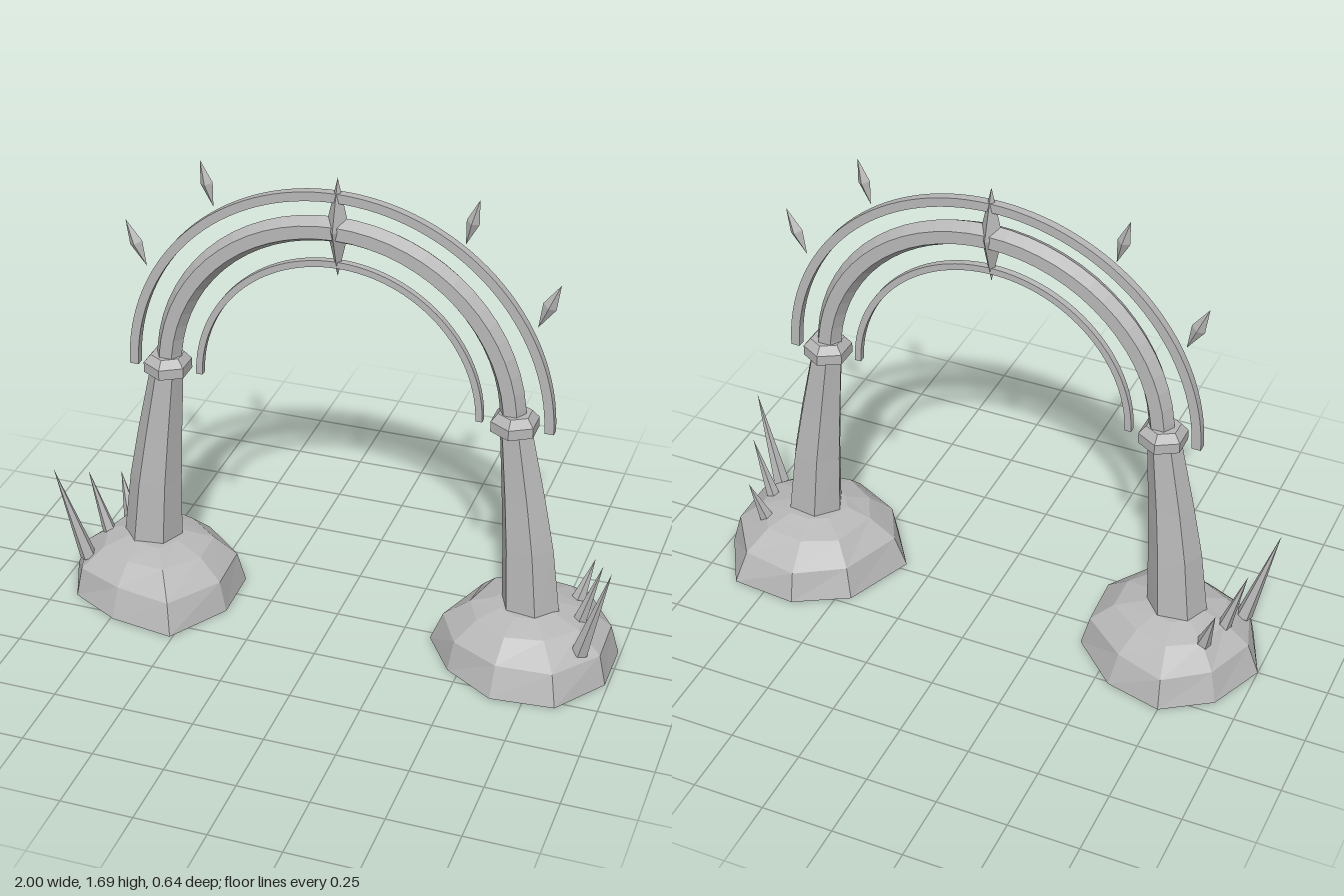
import * as THREE from 'three';

const stone = new THREE.MeshStandardMaterial({ color: 0xb8b8b8, side: THREE.DoubleSide });
stone.name = 'grey stone';

// Faceted mesh: unshared vertices give flat faces
function part(name, geometry, parent) {
  const g = geometry.index ? geometry.toNonIndexed() : geometry;
  g.computeVertexNormals();
  const mesh = new THREE.Mesh(g, stone);
  mesh.name = name;
  parent.add(mesh);
  return mesh;
}

// Skin through equal-sized closed rings of points, listed from bottom to top
function loft(rings) {
  const n = rings[0].length;
  const pos = rings.flat(2);
  const index = [];
  for (let i = 0; i < rings.length - 1; i++) {
    for (let j = 0; j < n; j++) {
      const a = i * n + j, b = i * n + (j + 1) % n, c = a + n, d = b + n;
      index.push(a, c, b, b, c, d);
    }
  }
  const g = new THREE.BufferGeometry();
  g.setAttribute('position', new THREE.Float32BufferAttribute(pos, 3));
  g.setIndex(index);
  return g;
}

// Hollow rock mound shrinking from its ground outline
function mound(name, outline, cx, parent) {
  const levels = [[0, 1], [0.11, 0.89], [0.18, 0.62], [0.208, 0.33], [0.21, 0]];
  const rings = levels.map(([y, s], i) => outline.map(([x, z], j) => {
    const k = i === 1 || i === 2 ? s + 0.035 * Math.sin(j * 2.3 + i) : s;
    return [cx + (x - cx) * k, y, z * k];
  }));
  part(name, loft(rings), parent);
}

// Leaning six-sided pillar: y, centre x, half width, half depth
function pillar(parent) {
  const levels = [
    [0.17, 0.697, 0, 0], [0.17, 0.697, 0.107, 0.095], [0.44, 0.676, 0.093, 0.08],
    [0.63, 0.653, 0.079, 0.066], [0.89, 0.617, 0.058, 0.052],
  ];
  const rings = levels.map(([y, cx, rx, rz]) => Array.from({ length: 6 }, (_, j) => {
    const a = j * Math.PI / 3 + 0.15;
    return [cx + rx * Math.cos(a), y, rz * Math.sin(a)];
  }));
  part('pillar', loft(rings), parent);
}

// Cone spike from its base point to its tip
function spike(base, tip, radius, parent) {
  const from = new THREE.Vector3(...base), to = new THREE.Vector3(...tip);
  const dir = to.clone().sub(from);
  const mesh = part('groundSpike', new THREE.ConeGeometry(radius, dir.length(), 5), parent);
  mesh.position.copy(from).add(to).multiplyScalar(0.5);
  mesh.quaternion.setFromUnitVectors(new THREE.Vector3(0, 1, 0), dir.normalize());
}

function crystal(name, x, y, size, tilt, parent) {
  const mesh = part(name, new THREE.OctahedronGeometry(1).scale(...size), parent);
  mesh.position.set(x, y, 0);
  mesh.rotation.z = tilt;
}

// Thin flat half ring
function halfRing(name, outer, inner, depth, parent) {
  const shape = new THREE.Shape();
  shape.absarc(0, 0, outer, 0, Math.PI, false);
  shape.absarc(0, 0, inner, Math.PI, 0, true);
  const g = new THREE.ExtrudeGeometry(shape, { depth, bevelEnabled: false, curveSegments: 32 });
  part(name, g.translate(0, 0.89, -depth / 2), parent);
}

export function createModel() {
  const model = new THREE.Group();
  model.name = 'archway';

  // Rock mounds, each with its own irregular outline
  mound('rightMound', [
    [-0.38, 0.11], [-0.51, 0.32], [-0.74, 0.285], [-0.92, 0.19], [-1, 0],
    [-0.915, -0.2], [-0.75, -0.31], [-0.55, -0.26], [-0.385, -0.1],
  ], -0.69, model);
  mound('leftMound', [
    [0.99, 0.1], [0.86, 0.28], [0.64, 0.3], [0.46, 0.19], [0.35, 0.03],
    [0.45, -0.22], [0.635, -0.325], [0.87, -0.305], [0.99, -0.1],
  ], 0.68, model);

  // Mirrored pillars, collars, spikes and floating crystals
  for (const side of [1, -1]) {
    const half = new THREE.Group();
    half.name = side > 0 ? 'leftSide' : 'rightSide';
    half.scale.x = side;
    model.add(half);

    pillar(half);
    const collarProfile = [[0, 0.88], [0.083, 0.88], [0.083, 0.917], [0.058, 0.945], [0, 0.945]];
    const collar = part('collar', new THREE.LatheGeometry(
      collarProfile.map(([r, y]) => new THREE.Vector2(r, y)), 6), half);
    collar.position.x = 0.613;

    spike([0.9, 0.13, 0.12], [0.998, 0.49, 0.152], 0.03, half);
    spike([0.865, 0.16, 0], [0.938, 0.408, 0], 0.026, half);
    spike([0.832, 0.165, -0.115], [0.88, 0.33, -0.15], 0.028, half);

    crystal('floatingCrystal', 0.45, 1.603, [0.022, 0.083, 0.02], -0.26, half);
    crystal('floatingCrystal', 0.71, 1.348, [0.024, 0.088, 0.02], -0.41, half);
  }

  // Six-sided main arch
  const arch = part('mainArch', new THREE.TorusGeometry(0.607, 0.045, 6, 32, Math.PI), model);
  arch.position.y = 0.9;

  halfRing('outerRing', 0.748, 0.716, 0.03, model);
  halfRing('innerRing', 0.505, 0.482, 0.024, model);

  // Keystone crystal through the crown of the arch
  crystal('keystoneCrystal', 0, 1.515, [0.04, 0.175, 0.055], 0, model);

  return model;
}
